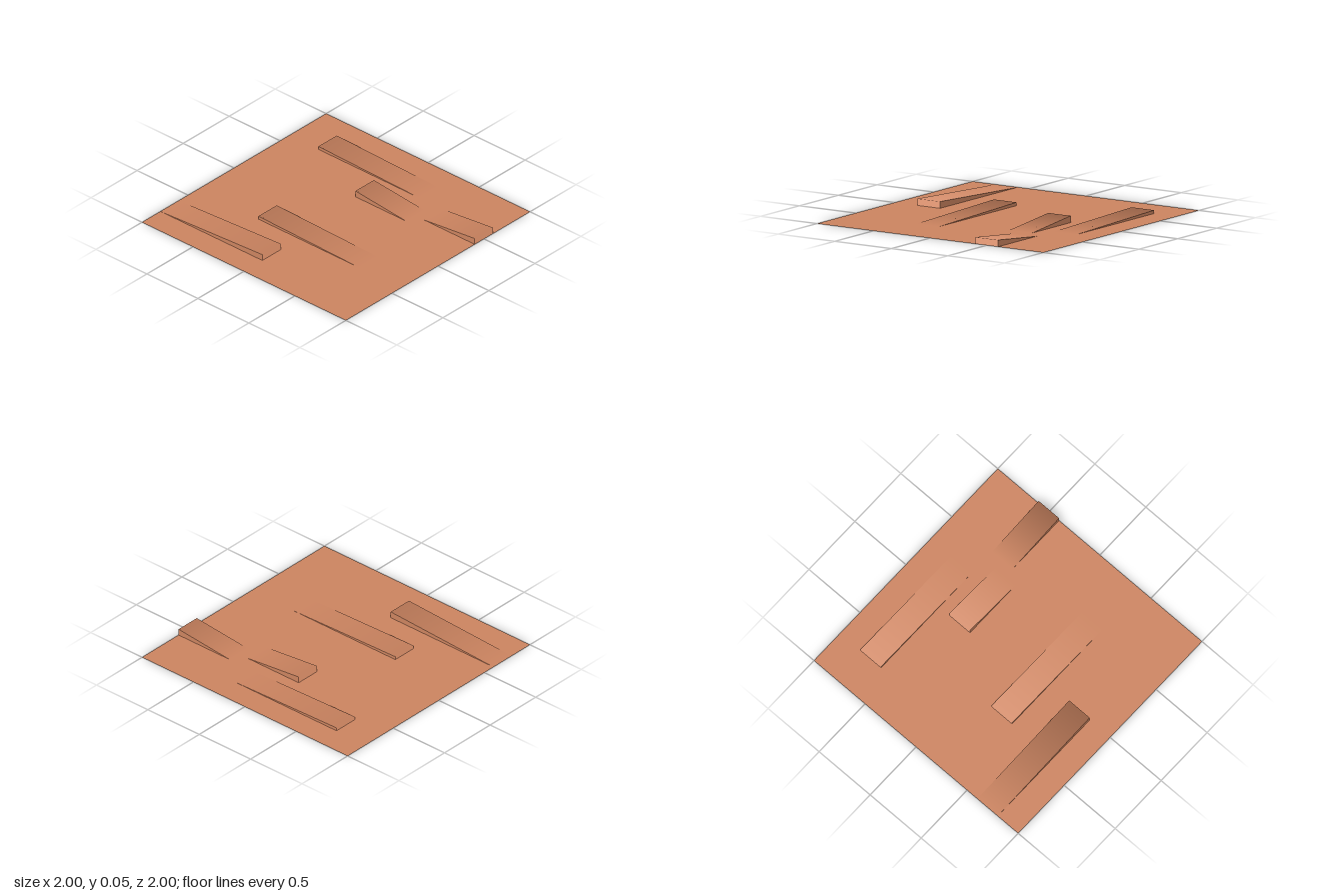
import * as THREE from 'three';

const clay = new THREE.MeshStandardMaterial({ color: 0xcc8460, side: THREE.DoubleSide });
clay.name = 'clay';

// Wedge rising from z = 0 to its full height at z = length, open underneath
function wedgeGeometry(width, length, height) {
  const w = width / 2;
  const lowL = [-w, 0, 0], lowR = [w, 0, 0];
  const highL = [-w, height, length], highR = [w, height, length];
  const footL = [-w, 0, length], footR = [w, 0, length];
  const up = [0, 1, 0], lip = [0, Math.SQRT1_2, Math.SQRT1_2];
  const left = [-1, 0, 0], right = [1, 0, 0];
  const positions = [], normals = [], index = [];

  function face(corners, cornerNormals) {
    const start = positions.length / 3;
    positions.push(...corners.flat());
    normals.push(...cornerNormals.flat());
    for (let i = 2; i < corners.length; i++) index.push(start, start + i - 1, start + i);
  }

  // The slope blends smoothly over its lip into the end wall; the sides are flat
  face([lowL, highL, highR, lowR], [up, lip, lip, up]);
  face([footL, footR, highR, highL], [lip, lip, lip, lip]);
  face([lowR, highR, footR], [right, right, right]);
  face([lowL, footL, highL], [left, left, left]);

  const geometry = new THREE.BufferGeometry();
  geometry.setAttribute('position', new THREE.Float32BufferAttribute(positions, 3));
  geometry.setAttribute('normal', new THREE.Float32BufferAttribute(normals, 3));
  geometry.setIndex(index);
  return geometry;
}

export function createModel() {
  const model = new THREE.Group();
  model.name = 'rampField';

  // Thin square floor
  const floor = new THREE.Mesh(new THREE.PlaneGeometry(2, 2).rotateX(-Math.PI / 2), clay);
  floor.name = 'floor';
  model.add(floor);

  // Ramps: centre x, z of the low end, z of the high end, height
  const ramps = [
    [-0.7, -1, 0, 0.05],
    [-0.3, 0.6, -0.4, 0.025],
    [0.4, 0.42, -0.08, 0.05],
    [0.5, 0.5, 1, 0.05],
    [0.7, 0.285, -0.715, 0.025],
  ];
  ramps.forEach(([x, low, high, height], i) => {
    const ramp = new THREE.Mesh(wedgeGeometry(0.2, Math.abs(high - low), height), clay);
    ramp.name = `ramp${i + 1}`;
    ramp.position.set(x, 0, low);
    if (high < low) ramp.rotation.y = Math.PI;
    model.add(ramp);
  });

  return model;
}
